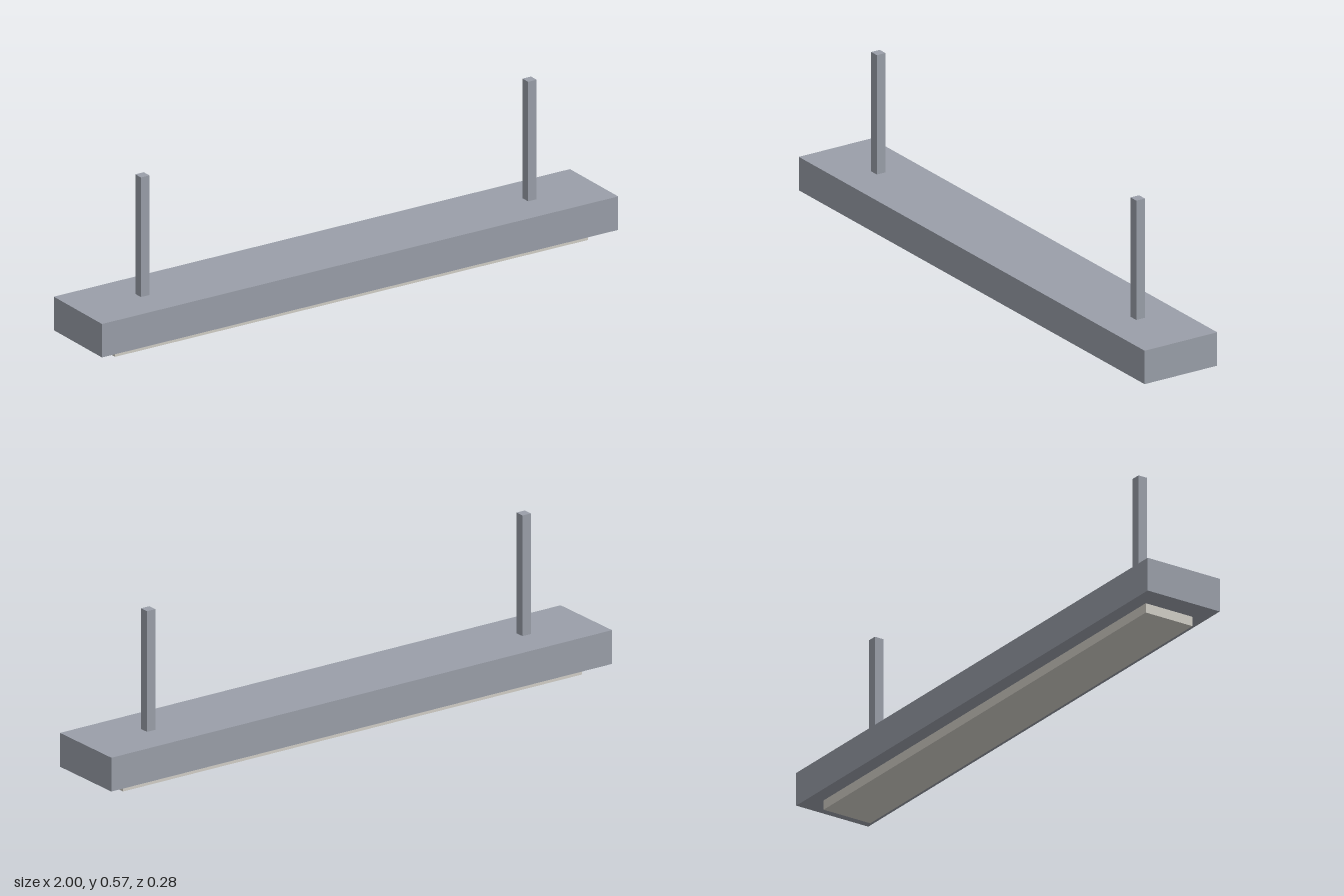
import * as THREE from 'three';

export function createModel() {
  const model = new THREE.Group();
  model.name = 'hangingLightBar';

  const metal = new THREE.MeshStandardMaterial({ color: 0x9a9fa9 });
  const glow = new THREE.MeshStandardMaterial({ color: 0xd2cfc7 });

  // Box placed by its bottom height
  const addBox = (name, material, [w, h, d], x, bottom) => {
    const mesh = new THREE.Mesh(new THREE.BoxGeometry(w, h, d), material);
    mesh.name = name;
    mesh.position.set(x, bottom + h / 2, 0);
    model.add(mesh);
  };

  // Light panel under the housing
  addBox('diffuserPanel', glow, [1.833, 0.0333, 0.183], 0, 0);

  // Long housing
  addBox('housing', metal, [2, 0.1167, 0.283], 0, 0.0333);

  // Pair of square hanging rods
  for (const [side, name] of [[1, 'leftRod'], [-1, 'rightRod']]) {
    addBox(name, metal, [0.0333, 0.4167, 0.0333], side * 0.75, 0.15);
  }

  return model;
}
